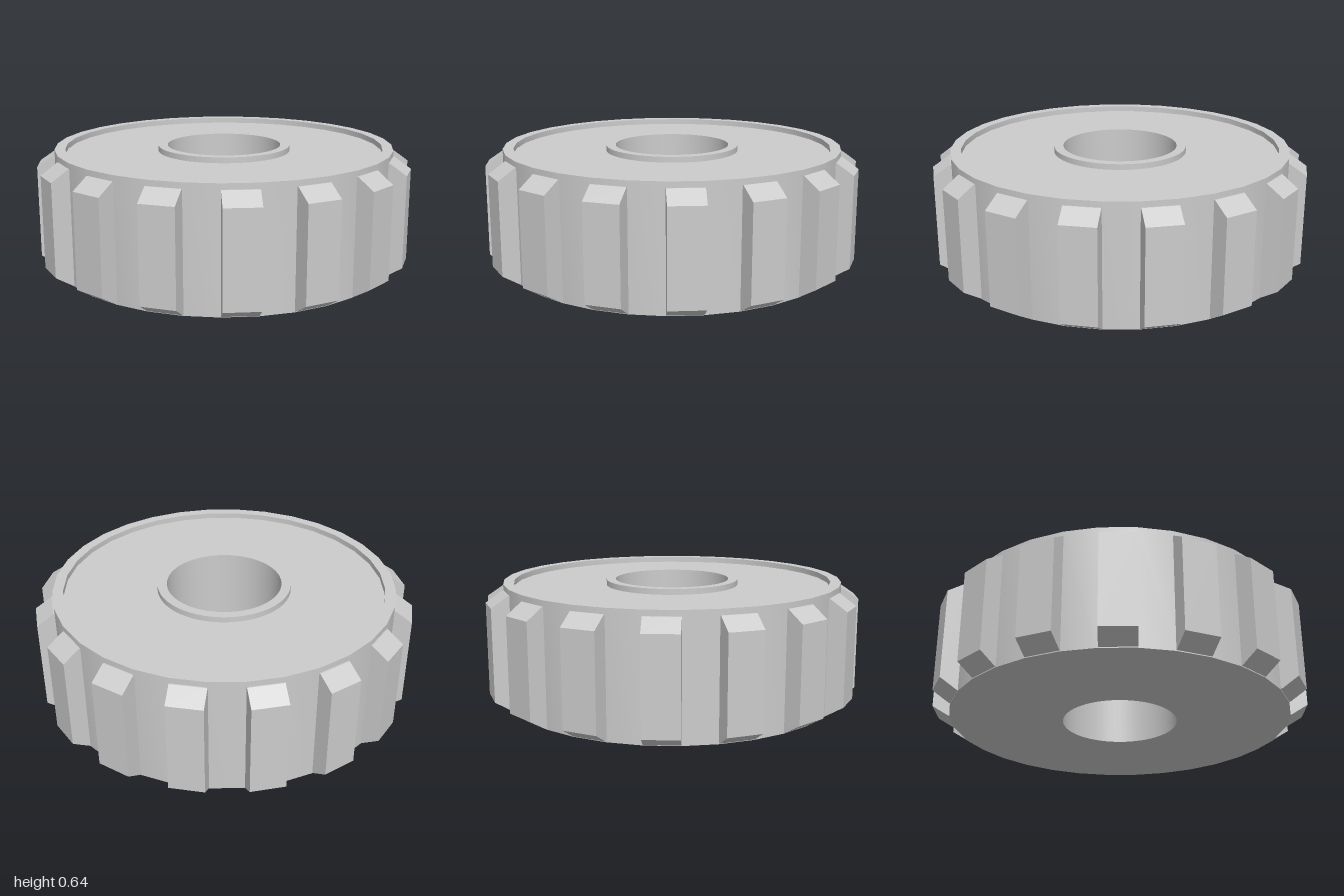
import * as THREE from 'three';
import { toCreasedNormals } from 'three/addons/utils/BufferGeometryUtils.js';

const vectors = (points) => points.map(([x, y]) => new THREE.Vector2(x, y));

export function createModel() {
  const model = new THREE.Group();
  const material = new THREE.MeshStandardMaterial({ color: 0xcccccc });

  // Surface of revolution with smooth walls and sharp rims
  const turned = (name, profile, segments) => {
    const geometry = new THREE.LatheGeometry(vectors(profile), segments);
    const mesh = new THREE.Mesh(toCreasedNormals(geometry, 0.5), material);
    mesh.name = name;
    model.add(mesh);
  };

  const height = 0.64;
  const floor = 0.61;

  // Disc: flat underside, raised outer rim, recessed top face
  turned('wheelDisc', [
    [0.345, 0], [0.906, 0], [0.906, height],
    [0.85, height], [0.85, floor], [0.345, floor],
  ], 32);

  // Hub: raised collar around the through hole
  turned('hub', [
    [0.305, 0], [0.355, 0], [0.355, height], [0.305, height], [0.305, 0],
  ], 64);

  // Treads: blocks chamfered top and bottom, set around the disc
  const width = 0.18;
  const count = 16;
  const section = new THREE.Shape(vectors([
    [0.875, 0.005], [0.908, 0.005], [0.996, 0.06],
    [0.996, 0.55], [0.908, 0.61], [0.875, 0.61],
  ]));
  const treadGeometry = new THREE.ExtrudeGeometry(section, { depth: width, bevelEnabled: false });
  treadGeometry.translate(0, 0, -width / 2);

  const treads = new THREE.Group();
  treads.name = 'treads';
  for (let i = 0; i < count; i++) {
    const tread = new THREE.Mesh(treadGeometry, material);
    tread.name = 'tread';
    tread.rotation.y = (i / count) * Math.PI * 2 - THREE.MathUtils.degToRad(5.5);
    treads.add(tread);
  }
  model.add(treads);

  return model;
}
